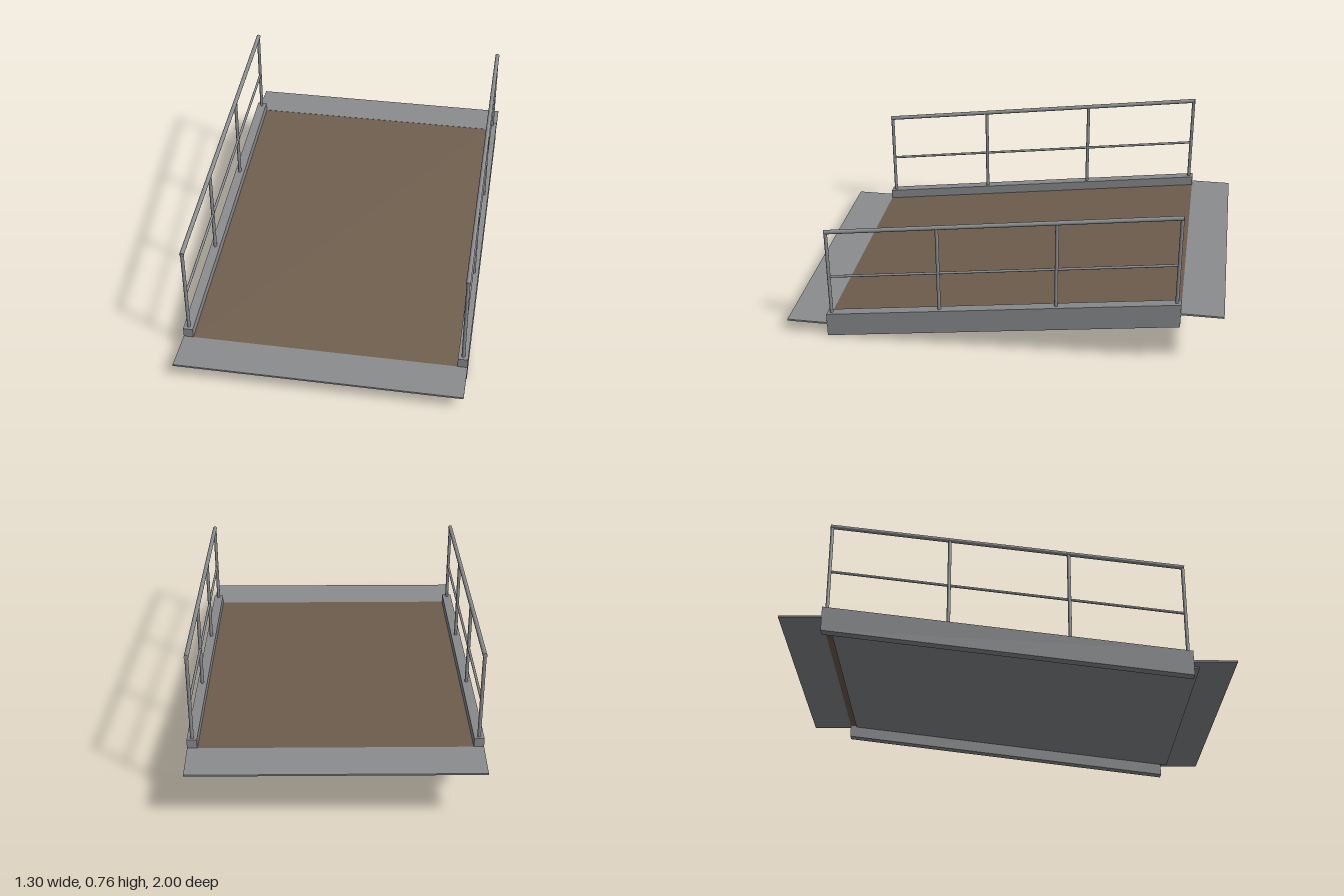
import * as THREE from 'three';

const SLOPE = 0.21 / 1.62; // rise per unit towards the back
const steel = new THREE.MeshStandardMaterial({ color: 0x8a8c8e });
steel.name = 'steel grey';
const brown = new THREE.MeshStandardMaterial({ color: 0x6f5f4e });
brown.name = 'deck brown';

function add(group, name, geometry, material) {
  const mesh = new THREE.Mesh(geometry, material);
  mesh.name = name;
  group.add(mesh);
  return mesh;
}

// Box sheared along the slope, keeping its ends upright; y0 is its bottom at z = 0
function slopedBox(width, y0, y1, zBack, zFront) {
  const g = new THREE.BoxGeometry(width, y1 - y0, zFront - zBack);
  g.translate(0, (y0 + y1) / 2, (zBack + zFront) / 2);
  const p = g.attributes.position;
  for (let i = 0; i < p.count; i++) p.setY(i, p.getY(i) - SLOPE * p.getZ(i));
  g.computeVertexNormals();
  return g;
}

// Round bar between two points in the plane of a railing
function bar(y0, z0, y1, z1, radius) {
  const a = new THREE.Vector3(0, y0, z0);
  const d = new THREE.Vector3(0, y1, z1).sub(a);
  const g = new THREE.CylinderGeometry(radius, radius, d.length(), 16);
  g.applyQuaternion(new THREE.Quaternion().setFromUnitVectors(
    new THREE.Vector3(0, 1, 0), d.clone().normalize()));
  return g.translate(0, y0 + d.y / 2, z0 + d.z / 2);
}

export function createModel() {
  const ramp = new THREE.Group();
  ramp.name = 'ramp';

  // Sloping walkway: brown surface on a steel underplate
  add(ramp, 'deckSurface', slopedBox(1.21, 0.167, 0.175, -0.81, 0.81), brown);
  add(ramp, 'deckUnderplate', slopedBox(1.21, 0.16, 0.167, -0.78, 0.84), steel);

  // Level landing flaps at both ends
  for (const [name, y, z] of [['frontFlap', 0.066, 0.905], ['backFlap', 0.277, -0.905]]) {
    add(ramp, name, new THREE.BoxGeometry(1.3, 0.008, 0.19), steel).position.set(0, y, z);
  }

  // Side beams and railings
  for (const side of [1, -1]) {
    const label = side > 0 ? 'left' : 'right';
    const beam = add(ramp, label + 'Beam', slopedBox(0.045, 0.105, 0.22, -0.81, 0.81), steel);
    beam.position.x = side * 0.6275;

    const railing = new THREE.Group();
    railing.name = label + 'Railing';
    railing.position.x = side * 0.6275;
    const railY = (z) => 0.642 - SLOPE * z;
    const midY = (z) => 0.41 - SLOPE * z;
    add(railing, 'handrail', bar(railY(0.797), 0.797, railY(-0.797), -0.797, 0.01), steel);
    add(railing, 'midRail', bar(midY(0.79), 0.79, midY(-0.79), -0.79, 0.006), steel);
    for (const z of [0.79, 0.28, -0.255, -0.79]) {
      add(railing, 'post', bar(0.21 - SLOPE * z, z, railY(z), z, 0.008), steel);
    }
    ramp.add(railing);
  }
  return ramp;
}
